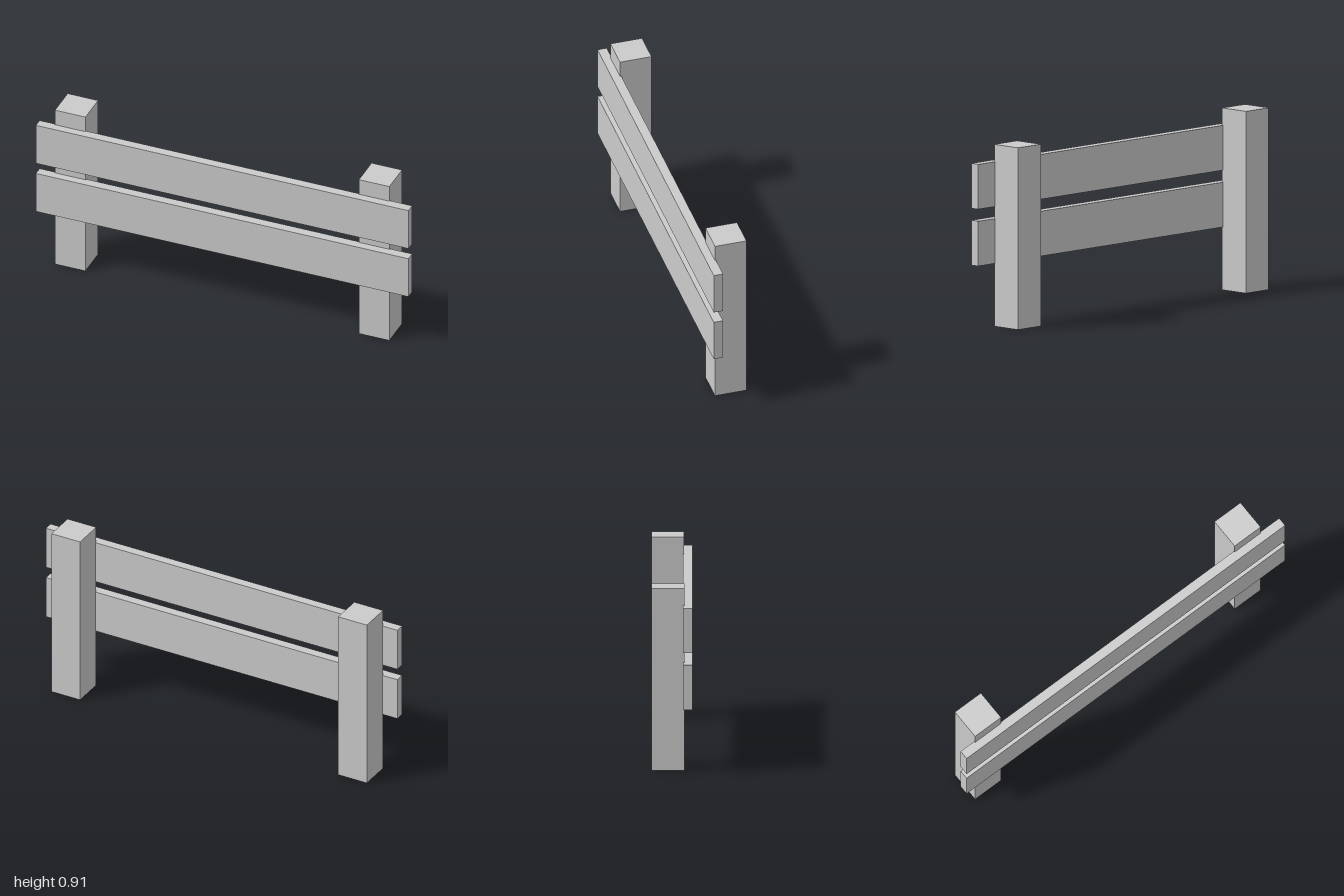
import * as THREE from 'three';

export function createModel() {
  const model = new THREE.Group();
  const material = new THREE.MeshStandardMaterial({ color: 0xcccccc, flatShading: true });

  // Box given by its size and centre
  function addBox(name, size, centre) {
    const mesh = new THREE.Mesh(new THREE.BoxGeometry(...size), material);
    mesh.name = name;
    mesh.position.set(...centre);
    model.add(mesh);
  }

  // Square posts, slightly off-centre along the fence
  const postHeight = 0.912;
  addBox('rightPost', [0.163, postHeight, 0.163], [-0.833, postHeight / 2, -0.02]);
  addBox('leftPost', [0.163, postHeight, 0.163], [0.798, postHeight / 2, -0.021]);

  // Horizontal planks let slightly into the front of the posts
  addBox('lowerRail', [2, 0.225, 0.048], [0, 0.428, 0.079]);
  addBox('upperRail', [2, 0.225, 0.048], [0, 0.713, 0.079]);

  return model;
}
